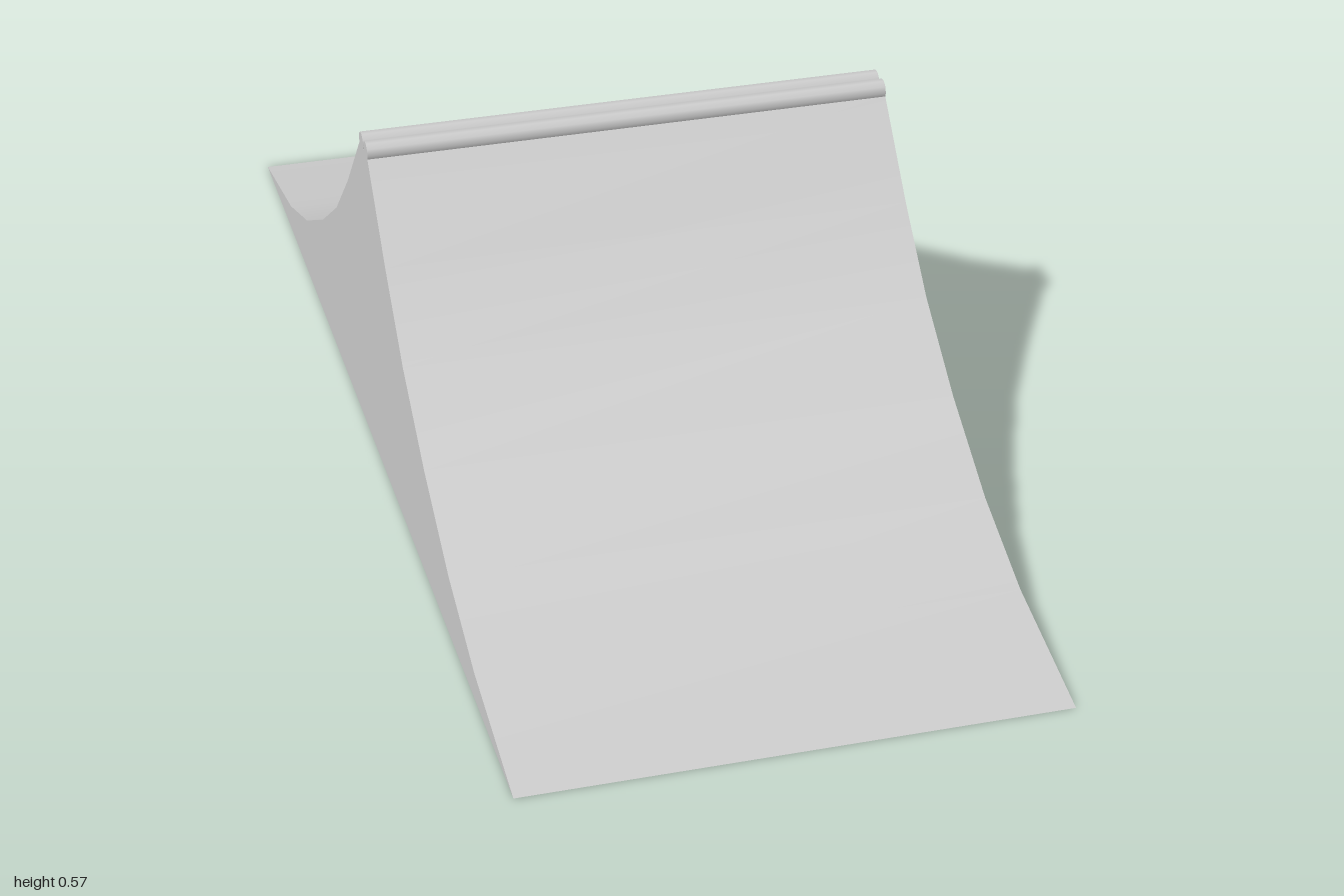
import * as THREE from 'three';

const WIDTH = 0.862;
// half profile from ridge to foot: [z, y]
const PROFILE = [
  [0.03, 0.547], [0.152, 0.412], [0.27, 0.299], [0.415, 0.198],
  [0.58, 0.109], [0.75, 0.048], [1, 0],
];

export function createModel() {
  const group = new THREE.Group();
  const grey = new THREE.MeshStandardMaterial({ color: 0xcccccc });
  grey.name = 'concreteGrey';

  const add = (name, geometry, parent = group) => {
    const mesh = new THREE.Mesh(geometry, grey);
    mesh.name = name;
    parent.add(mesh);
    return mesh;
  };

  // smooth concave riding surface, bent from a plane
  const slope = new THREE.PlaneGeometry(WIDTH, 1, 1, PROFILE.length - 1);
  const pos = slope.attributes.position;
  PROFILE.forEach(([z, y], i) => {
    for (let j = 0; j < 2; j++) pos.setXYZ(i * 2 + j, pos.getX(i * 2 + j), y, z);
  });
  slope.computeVertexNormals();

  // side wall outline, x of the shape runs along the ramp
  const outline = new THREE.Shape([
    ...PROFILE.map(([z, y]) => new THREE.Vector2(z, y)),
    ...PROFILE.map(([z, y]) => new THREE.Vector2(-z, y)).reverse(),
  ]);
  const wall = new THREE.ShapeGeometry(outline);

  // each half: slope and coping pipe, plus the wall on one side
  const pipe = new THREE.CylinderGeometry(0.017, 0.017, WIDTH, 10).rotateZ(Math.PI / 2);
  for (const [side, turn] of [['front', 0], ['back', Math.PI]]) {
    const half = new THREE.Group();
    half.name = side + 'Half';
    half.rotation.y = turn;
    add(side + 'Slope', slope, half);
    add(side + 'Coping', pipe, half).position.set(0, 0.552, 0.017);
    const sideWall = add(side === 'front' ? 'leftWall' : 'rightWall', wall, half);
    sideWall.rotation.y = Math.PI / 2;
    sideWall.position.x = WIDTH / 2;
    group.add(half);
  }

  // narrow deck between the pipes and the base
  const deck = add('deck', new THREE.PlaneGeometry(WIDTH, 0.06).rotateX(-Math.PI / 2));
  deck.position.y = 0.547;
  add('base', new THREE.PlaneGeometry(WIDTH, 2).rotateX(Math.PI / 2));

  return group;
}
